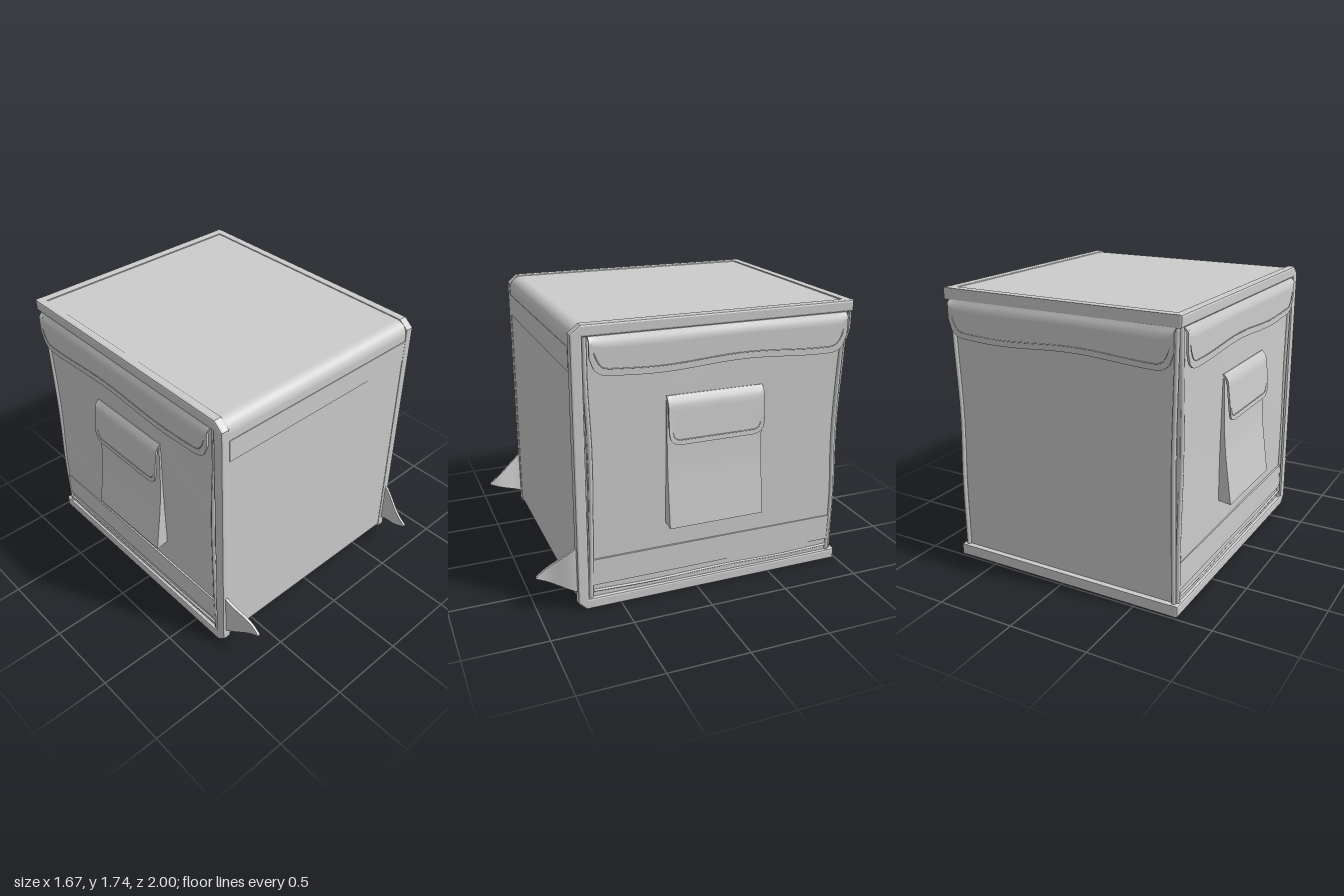
import * as THREE from 'three';

const mat = new THREE.MeshStandardMaterial({ color: 0xcccccc, side: THREE.DoubleSide });

function add(parent, name, geo) {
  const mesh = new THREE.Mesh(geo, mat);
  mesh.name = name;
  parent.add(mesh);
  return mesh;
}

function block(parent, name, x0, x1, y0, y1, z0, z1) {
  const geo = new THREE.BoxGeometry(x1 - x0, y1 - y0, z1 - z0);
  return add(parent, name, geo.translate((x0 + x1) / 2, (y0 + y1) / 2, (z0 + z1) / 2));
}

// Extrudes a side profile drawn in (z, y) between two x positions
function sideExtrude(shape, x0, x1, bevel = 0) {
  const geo = new THREE.ExtrudeGeometry(shape, {
    depth: x1 - x0 - 2 * bevel, curveSegments: 10, bevelEnabled: bevel > 0,
    bevelSize: bevel, bevelThickness: bevel, bevelOffset: -bevel, bevelSegments: 2,
  });
  return geo.rotateY(-Math.PI / 2).translate(x1 - bevel, 0, 0);
}

// Soft cloth flap facing +z: rounded lower corners, wavy hem, out(t) pushes it outward
function flapGeometry(width, top, bottom, radius, out, wave) {
  const geo = new THREE.BoxGeometry(width, 1, 0.012, 64, 10, 1);
  const p = geo.attributes.position;
  for (let i = 0; i < p.count; i++) {
    const x = p.getX(i), t = 0.5 - p.getY(i);
    const e = Math.max(0, radius - (width / 2 - Math.abs(x)));
    const low = bottom + wave(x) + radius - Math.sqrt(Math.max(0, radius * radius - e * e));
    p.setXYZ(i, x, top + (low - top) * t, p.getZ(i) + out(t));
  }
  geo.computeVertexNormals();
  return geo;
}

// Thin stitch line following a flap's hem, facing +z
function stitchGeometry(width, top, bottom, radius, z, wave) {
  const pts = [], h = width / 2;
  pts.push(new THREE.Vector3(-h, top, z(top)));
  for (let i = 0; i <= 40; i++) {
    const x = -h + (width * i) / 40;
    const e = Math.max(0, radius - (h - Math.abs(x)));
    const y = bottom + wave(x) + radius - Math.sqrt(Math.max(0, radius * radius - e * e));
    pts.push(new THREE.Vector3(x, y, z(y)));
  }
  pts.push(new THREE.Vector3(h, top, z(top)));
  return new THREE.TubeGeometry(new THREE.CatmullRomCurve3(pts), 120, 0.003, 5);
}

function piping(points, radius) {
  const curve = new THREE.CatmullRomCurve3(points.map((p) => new THREE.Vector3(...p)));
  return new THREE.TubeGeometry(curve, 32, radius, 8);
}

const hemWave = (x) => 0.012 * Math.sin(x * 6 + 0.8);
const flat = () => 0;

// Everything on the +x side; mirrored for the other side
function createSide(name) {
  const side = new THREE.Group();
  side.name = name;

  // Chamfered rail running along top, front and bottom edges
  const rail = new THREE.Shape([
    [-0.985, 1.67], [-0.985, 1.74], [0.71, 1.74], [0.77, 1.69], [0.77, 0.05], [0.72, 0],
    [-0.985, 0], [-0.985, 0.07], [0.70, 0.07], [0.70, 1.67],
  ].map(([z, y]) => new THREE.Vector2(z, y)));
  add(side, 'edgeRail', sideExtrude(rail, 0.72, 0.778, 0.012));

  // Fabric wall, softly waisted along its edges
  const wall = new THREE.BoxGeometry(0.03, 1.62, 1.64, 1, 24, 24);
  const p = wall.attributes.position;
  for (let i = 0; i < p.count; i++) {
    const y = p.getY(i), z = p.getZ(i);
    const pull = 0.012 * Math.cos((y / 0.81) * Math.PI / 2);
    p.setXYZ(i, p.getX(i) + 0.003 * Math.sin(5 * y + 3 * z), y, z * (1 - pull));
  }
  wall.computeVertexNormals();
  add(side, 'sideWall', wall.translate(0.742, 0.87, -0.125));

  // Corner piping
  add(side, 'frontPiping', piping([[0.755, 0.07, 0.685], [0.757, 0.5, 0.675], [0.757, 1.0, 0.67],
    [0.757, 1.4, 0.685], [0.755, 1.67, 0.685]], 0.014));
  add(side, 'rearPiping', piping([[0.755, 0.07, -0.935], [0.757, 0.45, -0.94], [0.757, 0.9, -0.92],
    [0.757, 1.3, -0.925], [0.755, 1.67, -0.94]], 0.014));
  add(side, 'backCornerPiping', piping([[0.74, 0.07, -0.955], [0.735, 0.5, -0.96], [0.725, 0.95, -0.95],
    [0.735, 1.4, -0.955], [0.74, 1.67, -0.955]], 0.014));

  // Band and seam near the base
  block(side, 'lowerBand', 0.745, 0.766, 0.15, 0.32, -0.93, 0.675);
  add(side, 'baseSeam', piping([[0.758, 0.11, 0.67], [0.758, 0.1, 0.3], [0.758, 0.108, -0.2],
    [0.758, 0.098, -0.6], [0.758, 0.105, -0.93]], 0.008));

  // Long upper flap
  const turn = (g, z) => g.rotateY(Math.PI / 2).translate(0, 0, z);
  const upperOut = (t) => 0.766 + 0.022 * Math.min(1, t * 5);
  add(side, 'upperFlap', turn(flapGeometry(1.61, 1.67, 1.445, 0.1, upperOut, hemWave), -0.135));
  add(side, 'upperFlapStitch', turn(stitchGeometry(1.55, 1.65, 1.485, 0.08,
    (y) => upperOut((1.67 - y) / 0.22) + 0.006, hemWave), -0.135));

  // Pocket flaring outward toward its base
  const pocket = new THREE.Shape();
  pocket.moveTo(0.735, 1.26);
  pocket.lineTo(0.77, 1.25);
  pocket.quadraticCurveTo(0.772, 0.95, 0.797, 0.75);
  pocket.lineTo(0.835, 0.47);
  pocket.lineTo(0.735, 0.485);
  add(side, 'pocket', new THREE.ExtrudeGeometry(pocket, { depth: 0.61, bevelEnabled: false })
    .translate(0, 0, -0.4));
  const pocketOut = (t) => 0.758 + 0.025 * Math.min(1, t * 7) + 0.025 * t;
  add(side, 'pocketFlap', turn(flapGeometry(0.61, 1.28, 0.99, 0.07, pocketOut, flat), -0.095));
  add(side, 'pocketFlapStitch', turn(stitchGeometry(0.56, 1.07, 1.02, 0.045,
    (y) => pocketOut((1.28 - y) / 0.29) + 0.006, flat), -0.095));

  // Triangular strap tab at the lower front
  const tab = new THREE.BoxGeometry(0.016, 1, 1, 1, 4, 16);
  const q = tab.attributes.position;
  for (let i = 0; i < q.count; i++) {
    const t = q.getZ(i) + 0.5;
    const y = THREE.MathUtils.lerp(0.27 + q.getY(i) * 0.3, 0.235 + q.getY(i) * 0.01, t);
    const x = 0.752 - 0.055 * THREE.MathUtils.smoothstep(t, 0, 0.85);
    q.setXYZ(i, x + q.getX(i), y, 0.76 + 0.24 * t);
  }
  tab.computeVertexNormals();
  add(side, 'strapTab', tab);
  return side;
}

export function createModel() {
  const model = new THREE.Group();
  model.name = 'deliveryBag';

  // Main body with rounded front edges
  const r = 0.08;
  const body = new THREE.Shape();
  body.moveTo(-0.95, 0.006);
  body.lineTo(0.764 - r, 0.006);
  body.absarc(0.764 - r, 0.006 + r, r, -Math.PI / 2, 0);
  body.lineTo(0.764, 1.732 - r);
  body.absarc(0.764 - r, 1.732 - r, r, 0, Math.PI / 2);
  body.lineTo(-0.95, 1.732);
  add(model, 'mainBody', sideExtrude(body, -0.735, 0.735));

  // Band across the upper front
  block(model, 'frontBand', -0.72, 0.72, 1.47, 1.61, 0.74, 0.768);

  // Rear rims at top and bottom
  block(model, 'rearTopRim', -0.765, 0.765, 1.672, 1.739, -0.985, -0.93);
  block(model, 'rearBottomRim', -0.765, 0.765, 0.001, 0.068, -0.985, -0.93);

  // Rear flap
  const back = new THREE.Group();
  back.name = 'rearFlapGroup';
  const rearOut = (t) => 0.972 + 0.02 * Math.min(1, t * 5);
  add(back, 'rearFlap', flapGeometry(1.48, 1.675, 1.45, 0.1, rearOut, hemWave));
  add(back, 'rearFlapStitch', stitchGeometry(1.42, 1.65, 1.485, 0.08,
    (y) => rearOut((1.675 - y) / 0.22) + 0.005, hemWave));
  back.rotation.y = Math.PI;
  model.add(back);

  // Both sides
  model.add(createSide('leftSide'));
  const right = createSide('rightSide');
  right.scale.x = -1;
  model.add(right);
  return model;
}
